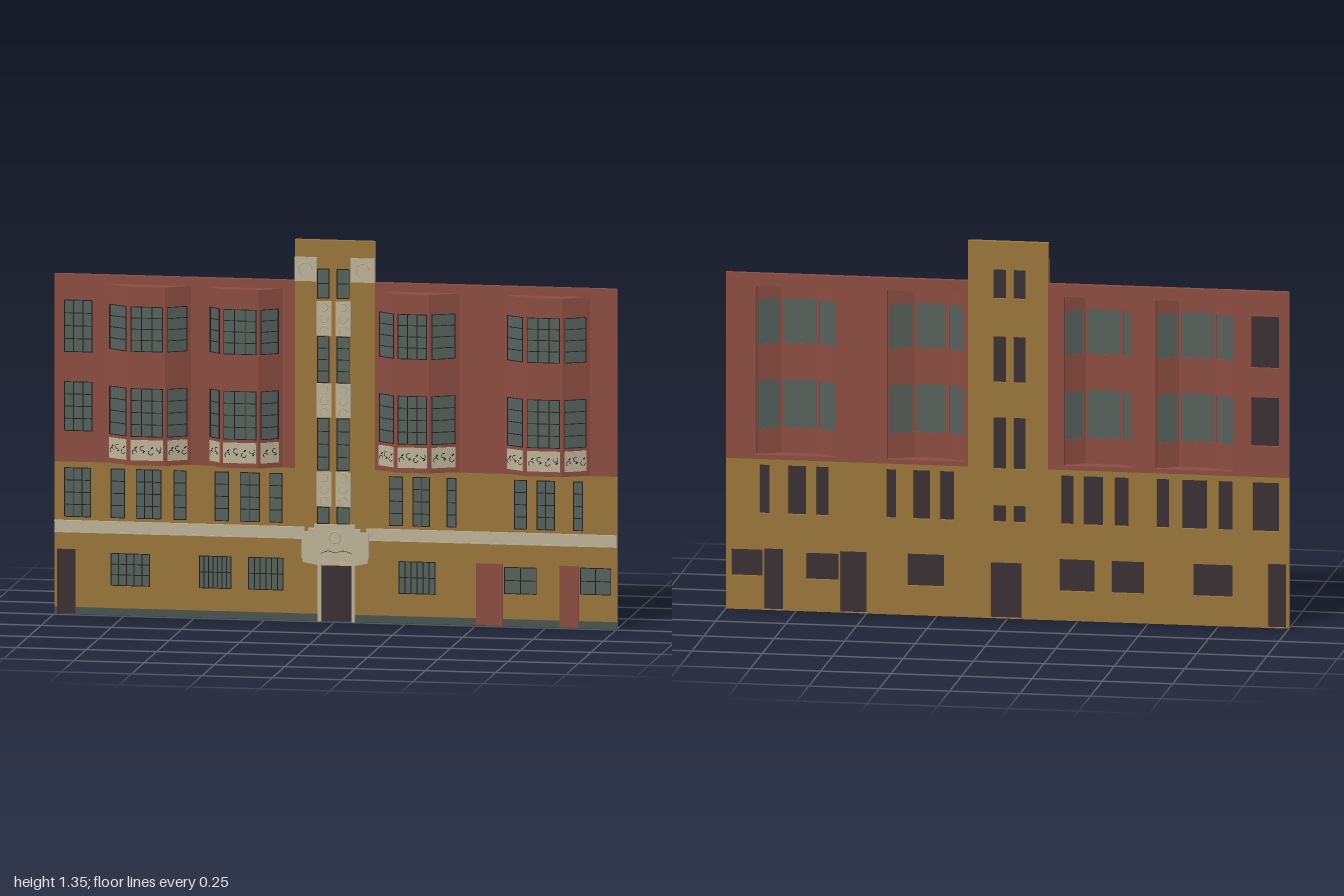
import * as THREE from 'three';

const mat = (name, color, side = THREE.FrontSide) => {
  const m = new THREE.MeshStandardMaterial({ color, side });
  m.name = name;
  return m;
};

export function createModel() {
  const ochre = mat('ochre render', 0x9a753a);
  const red = mat('red brick', 0x8b4c40);
  const cream = mat('cream stone', 0xbcb397);
  const glass = mat('window glass', 0x56605b);
  const frame = mat('black frame', 0x1d2120);
  const dark = mat('dark door', 0x3a3033);
  const slate = mat('slate plinth', 0x48534f);

  const root = new THREE.Group();
  root.name = 'facade';
  const BACK = -0.04, FACE = -0.02;

  const group = (name, parent = root) => {
    const g = new THREE.Group();
    g.name = name;
    parent.add(g);
    return g;
  };
  const mesh = (parent, name, geo, material) => {
    const m = new THREE.Mesh(geo, material);
    m.name = name;
    parent.add(m);
    return m;
  };
  // box given by its two opposite corners
  const box = (parent, name, material, x0, y0, z0, x1, y1, z1) => {
    const m = mesh(parent, name, new THREE.BoxGeometry(x1 - x0, y1 - y0, z1 - z0), material);
    m.position.set((x0 + x1) / 2, (y0 + y1) / 2, (z0 + z1) / 2);
    return m;
  };
  const polygon = (pts) => new THREE.Shape(pts.map(([x, y]) => new THREE.Vector2(x, y)));
  const rect = ([x0, y0, x1, y1]) => polygon([[x0, y0], [x1, y0], [x1, y1], [x0, y1]]);
  // upright slab with rectangular openings
  const slab = (parent, name, material, outline, holes, z0, z1) => {
    const s = rect(outline);
    s.holes = holes.map(rect);
    const m = mesh(parent, name, new THREE.ExtrudeGeometry(s, { depth: z1 - z0, bevelEnabled: false }), material);
    m.position.z = z0;
  };
  // pane with a grid of glazing bars; z is the pane front
  const glazing = (parent, [x0, y0, x1, y1], cols, rows, z, proud = 0.004) => {
    const g = group('window', parent), t = 0.0022;
    box(g, 'pane', glass, x0, y0, z - 0.002, x1, y1, z);
    for (let i = 0; i <= cols; i++) {
      const x = x0 + t / 2 + (x1 - x0 - t) * i / cols;
      box(g, 'verticalBar', frame, x - t / 2, y0, z, x + t / 2, y1, z + proud);
    }
    for (let j = 0; j <= rows; j++) {
      const y = y0 + t / 2 + (y1 - y0 - t) * j / rows;
      box(g, 'horizontalBar', frame, x0, y - t / 2, z, x1, y + t / 2, z + proud);
    }
  };
  // window in the main wall, dark on the inside
  const wallWindow = (r, cols, rows) => {
    glazing(root, r, cols, rows, -0.019, 0.006);
    box(root, 'windowBacking', dark, r[0], r[1], -0.026, r[2], r[3], -0.021);
  };
  // cream plate with scrolling dark ornament
  const ornament = (parent, [x0, y0, x1, y1], z) => {
    const g = group('ornamentPanel', parent);
    box(g, 'plate', cream, x0, y0, z, x1, y1, z + 0.004);
    const n = Math.max(2, Math.round((x1 - x0) / 0.028)), h = y1 - y0;
    for (let i = 0; i < n; i++) {
      const x = x0 + (x1 - x0) * (i + 0.5) / n, up = i % 2 ? 0.6 : 0.4;
      const scroll = mesh(g, 'scroll', new THREE.RingGeometry(0.007, 0.0095, 10, 1, i, 4.2), frame);
      scroll.position.set(x, y0 + h * up, z + 0.0045);
      const leaf = mesh(g, 'leaf', new THREE.CircleGeometry(0.006, 8), frame);
      leaf.scale.y = 0.45;
      leaf.rotation.z = 0.7;
      leaf.position.set(x + 0.004, y0 + h * (1.02 - up), z + 0.0045);
    }
  };

  // Openings: [x0, y0, x1, y1, columns, rows]
  const upper = [[-0.965, 0.93, -0.865, 1.115, 3, 4], [-0.965, 0.65, -0.865, 0.825, 3, 4]];
  const first = [
    [-0.965, -0.87, 3], [-0.8, -0.75, 1], [-0.71, -0.62, 3], [-0.575, -0.53, 1],
    [-0.43, -0.38, 1], [-0.34, -0.27, 2], [-0.235, -0.19, 1],
    [0.19, 0.24, 1], [0.275, 0.335, 2], [0.395, 0.43, 1],
    [0.635, 0.68, 1], [0.715, 0.78, 2], [0.845, 0.88, 1],
  ].map(([a, b, c]) => [a, 0.345, b, 0.52, c, 4]);
  const ground = [
    [-0.8, 0.105, -0.66, 0.22, 5, 3], [-0.485, 0.105, -0.37, 0.22, 7, 2], [-0.31, 0.105, -0.185, 0.22, 6, 2],
    [0.225, 0.105, 0.355, 0.22, 6, 2], [0.6, 0.115, 0.715, 0.21, 2, 2], [0.87, 0.12, 0.98, 0.215, 2, 2],
  ];
  const towerWindows = [[0.345, 0.405, 1], [0.535, 0.72, 4], [0.845, 1.01, 4], [1.145, 1.25, 2]].flatMap(
    ([a, b, rows]) => [[-0.065, a, -0.022, b, 1, rows], [0.004, a, 0.05, b, 1, rows]]);
  const doors = [[-0.99, -0.925, 0.23, dark], [-0.05, 0.06, 0.2, dark], [0.5, 0.595, 0.22, red], [0.797, 0.865, 0.22, red]];
  const doorHoles = doors.map(([a, b, h]) => [a, 0.002, b, h]);
  // plan corners of the four bays
  const bays = [
    [-0.815, -0.728, -0.597, -0.515], [-0.455, -0.398, -0.265, -0.19],
    [0.145, 0.222, 0.342, 0.44], [0.6, 0.682, 0.815, 0.905],
  ];
  const bayHoles = bays.map((b) => [b[0] + 0.012, 0.556, b[3] - 0.012, 1.16]);

  // Walls
  for (const [x0, x1] of [[-1, -0.145], [0.14, 1]]) {
    const inside = (h) => h[0] > x0 && h[2] < x1;
    slab(root, 'lowerWall', ochre, [x0, 0, x1, 0.54], [...first, ...ground, ...doorHoles].filter(inside), BACK, FACE);
    slab(root, 'upperWall', red, [x0, 0.54, x1, 1.205], [...upper, ...bayHoles].filter(inside), BACK, FACE);
  }
  slab(root, 'tower', ochre, [-0.145, 0, 0.14, 1.35], [...towerWindows, doorHoles[1]], BACK - 0.001, FACE + 0.001);
  [...upper, ...first, ...ground, ...towerWindows].forEach((w) => wallWindow(w, w[4], w[5]));

  // Doors
  for (const [a, b, h, m] of doors) {
    box(root, 'door', m, a, 0.002, -0.024, b, h, -0.012);
    box(root, 'doorBacking', dark, a, 0.002, -0.028, b, h, -0.024);
  }
  for (const x of [-0.046, 0.007]) box(root, 'doorLeaf', dark, x, 0.01, -0.012, x + 0.049, 0.19, -0.01);

  // Plinth and zigzag string course
  box(root, 'plinth', slate, -1, 0, FACE, 1, 0.025, -0.015);
  for (const [x0, x1] of [[-1, -0.11], [0.11, 1]]) {
    box(root, 'stringCourse', cream, x0, 0.29, FACE, x1, 0.333, -0.014);
    for (const y of [0.29, 0.329]) box(root, 'courseEdge', cream, x0, y, -0.014, x1, y + 0.004, -0.011);
    const n = 26, w = (x1 - x0) / n;
    for (let i = 0; i < n; i++) {
      const bar = mesh(root, 'zigzag', new THREE.BoxGeometry(0.046, 0.003, 0.002), cream);
      bar.position.set(x0 + (i + 0.5) * w, 0.3115, -0.013);
      bar.rotation.z = (i % 2 ? -1 : 1) * 0.8;
    }
  }

  // Tower panels, central mullion and top corner blocks
  for (const [y0, y1] of [[0.408, 0.53], [0.723, 0.843], [1.013, 1.135]]) {
    for (const [a, b] of [[-0.068, -0.014], [0, 0.054]]) {
      box(root, 'towerPanel', cream, a, y0, FACE, b, y1, -0.014);
      for (let i = 0; i < 3; i++) {
        const relief = mesh(root, 'panelRelief', new THREE.TorusGeometry(0.014, 0.002, 4, 10, 4.4), cream);
        relief.position.set((a + b) / 2, y0 + (y1 - y0) * (i + 0.5) / 3, -0.0135);
        relief.rotation.z = i * 2;
      }
    }
  }
  box(root, 'mullion', ochre, -0.014, 0.345, FACE, 0, 1.25, -0.014);
  for (const [a, b] of [[-0.145, -0.066], [0.054, 0.14]]) {
    box(root, 'cornerBlock', cream, a, 1.205, FACE, b, 1.29, -0.011);
    const swirl = mesh(root, 'cornerRelief', new THREE.TorusGeometry(0.024, 0.002, 4, 14, 4.6), cream);
    swirl.position.set((a + b) / 2, 1.247, -0.0105);
  }

  // Entrance surround
  const portal = group('entranceSurround');
  const hood = polygon([[-0.115, 0.21], [-0.06, 0.2], [0.065, 0.2], [0.115, 0.21], [0.115, 0.318], [0.09, 0.318],
    [0.09, 0.33], [0.07, 0.33], [0.07, 0.345], [-0.075, 0.345], [-0.075, 0.33], [-0.095, 0.33], [-0.095, 0.295],
    [-0.115, 0.295]]);
  mesh(portal, 'hood', new THREE.ExtrudeGeometry(hood, { depth: 0.016, bevelEnabled: false }), cream).position.z = FACE;
  for (const x of [-0.062, 0.058]) box(portal, 'doorJamb', cream, x, 0, FACE, x + 0.012, 0.205, -0.006);
  for (const x of [-0.118, 0.098]) box(portal, 'hoodBlock', cream, x, 0.225, FACE, x + 0.022, 0.318, -0.001);
  box(portal, 'hoodLedge', cream, -0.06, 0.203, -0.004, 0.065, 0.213, 0);
  const crest = mesh(portal, 'crest', new THREE.TorusGeometry(0.02, 0.003, 4, 16), cream);
  crest.position.set(0, 0.3, -0.004);
  const line = new THREE.CatmullRomCurve3([[-0.05, 0.242], [-0.025, 0.252], [0, 0.246], [0.03, 0.253], [0.06, 0.244]]
    .map(([x, y]) => new THREE.Vector3(x, y, -0.003)));
  mesh(portal, 'carvedLine', new THREE.TubeGeometry(line, 16, 0.001, 4), dark);

  // Bay windows: three glazed faces, floor and flat roof
  for (const [a, b, c, d] of bays) {
    const bay = group('bayWindow');
    const plan = [[a, FACE], [b, 0.033], [c, 0.033], [d, FACE]];
    for (const [name, y] of [['bayFloor', 0.542], ['bayRoof', 1.165]]) {
      const geo = new THREE.ExtrudeGeometry(polygon(plan.map(([x, z]) => [x, -z])), { depth: 0.01, bevelEnabled: false });
      geo.rotateX(-Math.PI / 2);
      mesh(bay, name, geo, red).position.y = y;
    }
    for (let i = 0; i < 3; i++) {
      const [p, q] = [plan[i], plan[i + 1]];
      const dx = q[0] - p[0], dz = q[1] - p[1], len = Math.hypot(dx, dz);
      const side = group('bayFace', bay);
      side.position.set(p[0], 0, p[1]);
      side.rotation.y = Math.atan2(-dz, dx);
      const l = i === 0 ? 0.015 : 0.008, r = len - (i === 2 ? 0.015 : 0.008);
      const panes = [[l, 0.643, r, 0.815], [l, 0.945, r, 1.105]];
      slab(side, 'bayWall', red, [0, 0.542, len, 1.175], panes, -0.005, 0);
      panes.forEach((w) => glazing(side, w, i === 1 ? 3 : 1, 4, -0.001, 0.004));
      ornament(side, [l, 0.56, r, 0.632], 0);
    }
  }
  return root;
}
